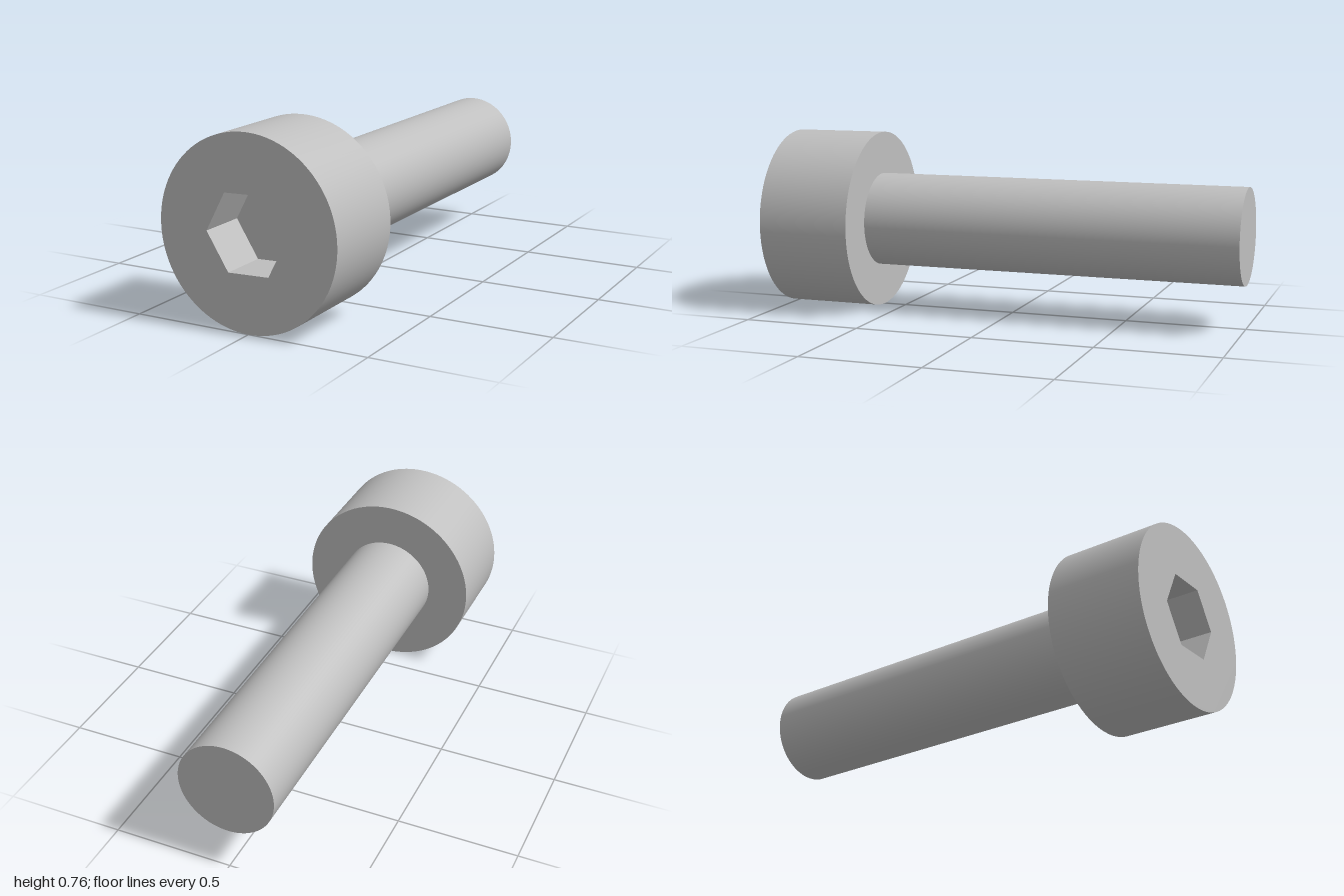
import * as THREE from 'three';

const HEAD_R = 0.38, SHAFT_R = 0.2, HEX_R = 0.174, TWIST = 0.03;
const FRONT = 1, SHOULDER = 0.6, BACK = -1, SOCKET_FLOOR = 0.8;
const SEGMENTS = 96;

export function createModel() {
  const steel = new THREE.MeshStandardMaterial({ color: 0xbfbfbf });
  steel.name = 'steel';

  const model = new THREE.Group();
  model.name = 'socketHeadBolt';
  const bolt = new THREE.Group();
  bolt.name = 'bolt';
  bolt.position.y = HEAD_R;
  model.add(bolt);

  const add = (name, geometry, parent = bolt) => {
    const mesh = new THREE.Mesh(geometry, steel);
    mesh.name = name;
    parent.add(mesh);
  };
  // Open tube along z between two depths
  const barrel = (radius, z0, z1) =>
    new THREE.CylinderGeometry(radius, radius, z1 - z0, SEGMENTS, 1, true)
      .rotateX(Math.PI / 2).translate(0, 0, (z0 + z1) / 2);

  const hexPoints = Array.from({ length: 6 }, (_, i) => {
    const a = TWIST + i * Math.PI / 3;
    return new THREE.Vector2(HEX_R * Math.cos(a), HEX_R * Math.sin(a));
  });

  // Head: side, front face with hexagonal opening, rear shoulder
  add('headSide', barrel(HEAD_R, SHOULDER, FRONT));
  const face = new THREE.Shape().absarc(0, 0, HEAD_R, 0, Math.PI * 2);
  face.holes.push(new THREE.Path(hexPoints));
  add('headFace', new THREE.ShapeGeometry(face, SEGMENTS / 2).translate(0, 0, FRONT));
  add('headShoulder', new THREE.RingGeometry(SHAFT_R, HEAD_R, SEGMENTS)
    .rotateY(Math.PI).translate(0, 0, SHOULDER));

  // Hexagonal socket: six inward-facing walls and a floor
  const socket = new THREE.Group();
  socket.name = 'hexSocket';
  bolt.add(socket);
  const depth = FRONT - SOCKET_FLOOR;
  for (let i = 0; i < 6; i++) {
    add('socketWall', new THREE.PlaneGeometry(depth, HEX_R)
      .rotateY(-Math.PI / 2)
      .translate(HEX_R * Math.cos(Math.PI / 6), 0, FRONT - depth / 2)
      .rotateZ(TWIST + (i + 0.5) * Math.PI / 3), socket);
  }
  add('socketFloor', new THREE.ShapeGeometry(new THREE.Shape(hexPoints))
    .translate(0, 0, SOCKET_FLOOR), socket);

  // Shaft with flat end
  add('shaft', barrel(SHAFT_R, BACK, SHOULDER));
  add('shaftEnd', new THREE.CircleGeometry(SHAFT_R, SEGMENTS)
    .rotateY(Math.PI).translate(0, 0, BACK));

  return model;
}
